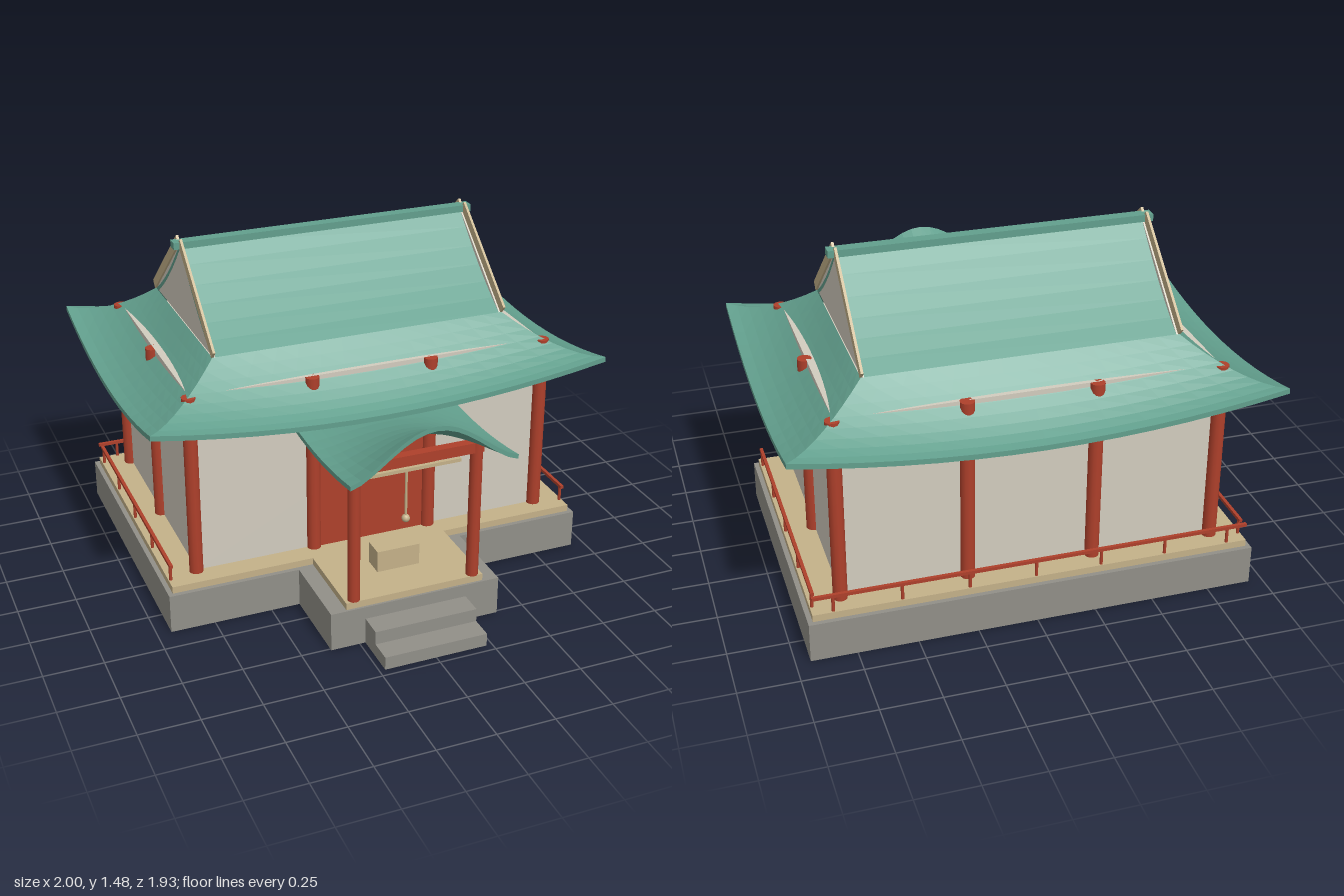
import * as THREE from 'three';

const mat = (name, color, side = THREE.FrontSide) => {
  const m = new THREE.MeshStandardMaterial({ color, side });
  m.name = name;
  return m;
};

export function createModel() {
  const stone = mat('stone grey', 0x918f88);
  const wood = mat('pale wood', 0xc4b189);
  const red = mat('painted red', 0xae402b);
  const plaster = mat('plaster', 0xd2ccbe);
  const teal = mat('teal roof', 0x629f8d, THREE.DoubleSide);

  const model = new THREE.Group();
  model.name = 'templeHall';
  const CZ = -0.25; // centre of the hall in z

  const add = (name, geo, material, parent = model) => {
    const m = new THREE.Mesh(geo, material);
    m.name = name;
    parent.add(m);
    return m;
  };
  // box given by its limits
  const box = (name, material, x0, x1, y0, y1, z0, z1) => {
    const g = new THREE.BoxGeometry(x1 - x0, y1 - y0, z1 - z0);
    g.translate((x0 + x1) / 2, (y0 + y1) / 2, (z0 + z1) / 2);
    return add(name, g, material);
  };
  const post = (name, material, r, x, z, y0, y1, sides = 12) => {
    const g = new THREE.CylinderGeometry(r, r, y1 - y0, sides);
    return add(name, g.translate(x, (y0 + y1) / 2, z), material);
  };
  // faceted slab: fn(u, v) is the upper surface, u along x and v towards +z
  const slab = (fn, nu, nv, thick) => {
    const pos = [];
    const loop = (v) => {
      const top = [], low = [];
      for (let i = 0; i <= nu; i++) {
        const [x, y, z] = fn(i / nu, v);
        top.push([x, y, z]);
        low.unshift([x, y - thick, z]);
      }
      return [...top, ...low];
    };
    const quad = (a, b, c, d) => pos.push(...a, ...b, ...c, ...a, ...c, ...d);
    const rows = [];
    for (let j = 0; j <= nv; j++) rows.push(loop(j / nv));
    const n = 2 * nu + 2;
    for (let j = 0; j < nv; j++)
      for (let i = 0; i < n; i++) {
        const k = (i + 1) % n;
        quad(rows[j][i], rows[j + 1][i], rows[j + 1][k], rows[j][k]);
      }
    for (let i = 0; i < nu; i++) {
      const a = rows[0], b = rows[nv], p = n - 1 - i, q = n - 2 - i;
      quad(a[i], a[i + 1], a[q], a[p]);
      quad(b[i + 1], b[i], b[p], b[q]);
    }
    const g = new THREE.BufferGeometry();
    g.setAttribute('position', new THREE.Float32BufferAttribute(pos, 3));
    g.computeVertexNormals();
    return g;
  };
  const lerp = THREE.MathUtils.lerp;

  // stone base, steps and timber decks
  box('mainBase', stone, -0.94, 0.94, 0, 0.17, -0.89, 0.39);
  box('porchBase', stone, -0.375, 0.375, 0, 0.17, 0.39, 0.76);
  box('upperStep', stone, -0.225, 0.225, 0, 0.115, 0.76, 0.865);
  box('lowerStep', stone, -0.225, 0.225, 0, 0.057, 0.865, 0.965);
  box('mainDeck', wood, -0.92, 0.92, 0.17, 0.2, -0.87, 0.37);
  box('porchDeck', wood, -0.305, 0.305, 0.17, 0.2, 0.37, 0.75);

  // hall walls, door and columns
  box('walls', plaster, -0.785, 0.785, 0.2, 1.0, CZ - 0.525, CZ + 0.525);
  box('door', red, -0.25, 0.25, 0.2, 0.82, 0.276, 0.284);
  for (const z of [CZ - 0.53, CZ + 0.53])
    for (const x of [-0.79, -0.265, 0.265, 0.79]) post('column', red, 0.03, x, z, 0.2, 1.0);
  for (const x of [-0.79, 0.79]) post('column', red, 0.03, x, CZ, 0.2, 1.0);

  // flared skirt roof: one curved slab for each side, corners lifted
  const skirt = (inHalf, outHalf, inDepth, outDepth, angle) => {
    const g = slab((u, v) => {
      const s = u * 2 - 1;
      const y = 1.1 - 0.235 * (1 - Math.pow(1 - v, 1.6)) + 0.088 * s * s * v;
      return [s * lerp(inHalf, outHalf, v), y, lerp(inDepth, outDepth, v)];
    }, 14, 8, 0.022);
    add('skirtRoof', g.rotateY(angle).translate(0, 0, CZ), teal);
  };
  for (const k of [0, Math.PI]) {
    skirt(0.65, 1.0, 0.415, 0.715, k);
    skirt(0.415, 0.715, 0.65, 1.0, k + Math.PI / 2);
    // upper roof slope, slightly sagging
    const g = slab((u, v) => [
      lerp(-0.647, 0.647, u), lerp(1.447, 1.1, v) - 0.1 * v * (1 - v), 0.415 * v,
    ], 1, 6, 0.02);
    add('upperRoof', g.rotateY(k).translate(0, 0, CZ), teal);
  }
  box('ridge', teal, -0.68, 0.68, 1.43, 1.46, CZ - 0.025, CZ + 0.025);

  // gable ends with sloping boards
  const plate = (name, material, pts, x0, x1) => {
    const shape = new THREE.Shape(pts.map(([a, b]) => new THREE.Vector2(a, b)));
    const g = new THREE.ExtrudeGeometry(shape, { depth: x1 - x0, bevelEnabled: false });
    add(name, g.rotateY(Math.PI / 2).translate(x0, 0, CZ), material);
  };
  for (const s of [-1, 1]) {
    const span = (a, b) => (s > 0 ? [a, b] : [-b, -a]);
    plate('gableWall', plaster, [[-0.415, 1.1], [0.415, 1.1], [0, 1.445]], ...span(0.637, 0.646));
    for (const m of [-1, 1])
      plate('gableBoard', wood,
        [[0.415, 1.1], [0.442, 1.13], [0.027, 1.475], [0, 1.445]].map(([a, b]) => [a * m, b]),
        ...span(0.644, 0.655));
  }

  // porch: arched roof fading back into the eave, columns and beam
  add('porchRoof', slab((u, v) => {
    const s = u * 2 - 1;
    const eave = 0.805 - 0.06 * v + 0.085 * v * v;
    const rise = 0.012 + 0.055 * v + 0.12 * v * v;
    const arch = Math.pow(Math.max(0, Math.cos(s * Math.PI / 2)), 1.5);
    return [s * 0.355, eave + rise * arch, lerp(0.3, 0.915, v)];
  }, 16, 8, 0.02), teal);
  for (const x of [-0.265, 0.265]) post('porchColumn', red, 0.026, x, 0.73, 0.2, 0.82);
  box('porchBeam', red, -0.29, 0.29, 0.775, 0.82, 0.71, 0.75);

  // hanging bar with rope and bell, offering box
  box('hangingBar', wood, -0.24, 0.24, 0.69, 0.705, 0.632, 0.648);
  post('bellRope', wood, 0.006, 0, 0.64, 0.48, 0.7, 8);
  add('bell', new THREE.SphereGeometry(0.018, 10, 8).translate(0, 0.474, 0.64), wood);
  box('offeringBox', wood, -0.095, 0.095, 0.2, 0.295, 0.485, 0.575);

  // railings along both sides and the back
  for (const s of [-1, 1]) {
    box('sideRail', red, s * 0.91 - 0.007, s * 0.91 + 0.007, 0.264, 0.278, -0.83, 0.33);
    for (let i = 0; i < 5; i++) post('railPost', red, 0.007, s * 0.91, 0.31 - i * 0.28, 0.2, 0.27, 8);
  }
  box('backRail', red, -0.92, 0.92, 0.264, 0.278, -0.867, -0.853);
  for (let i = 0; i < 7; i++) post('railPost', red, 0.007, -0.835 + i * 0.2783, -0.86, 0.2, 0.27, 8);

  return model;
}
